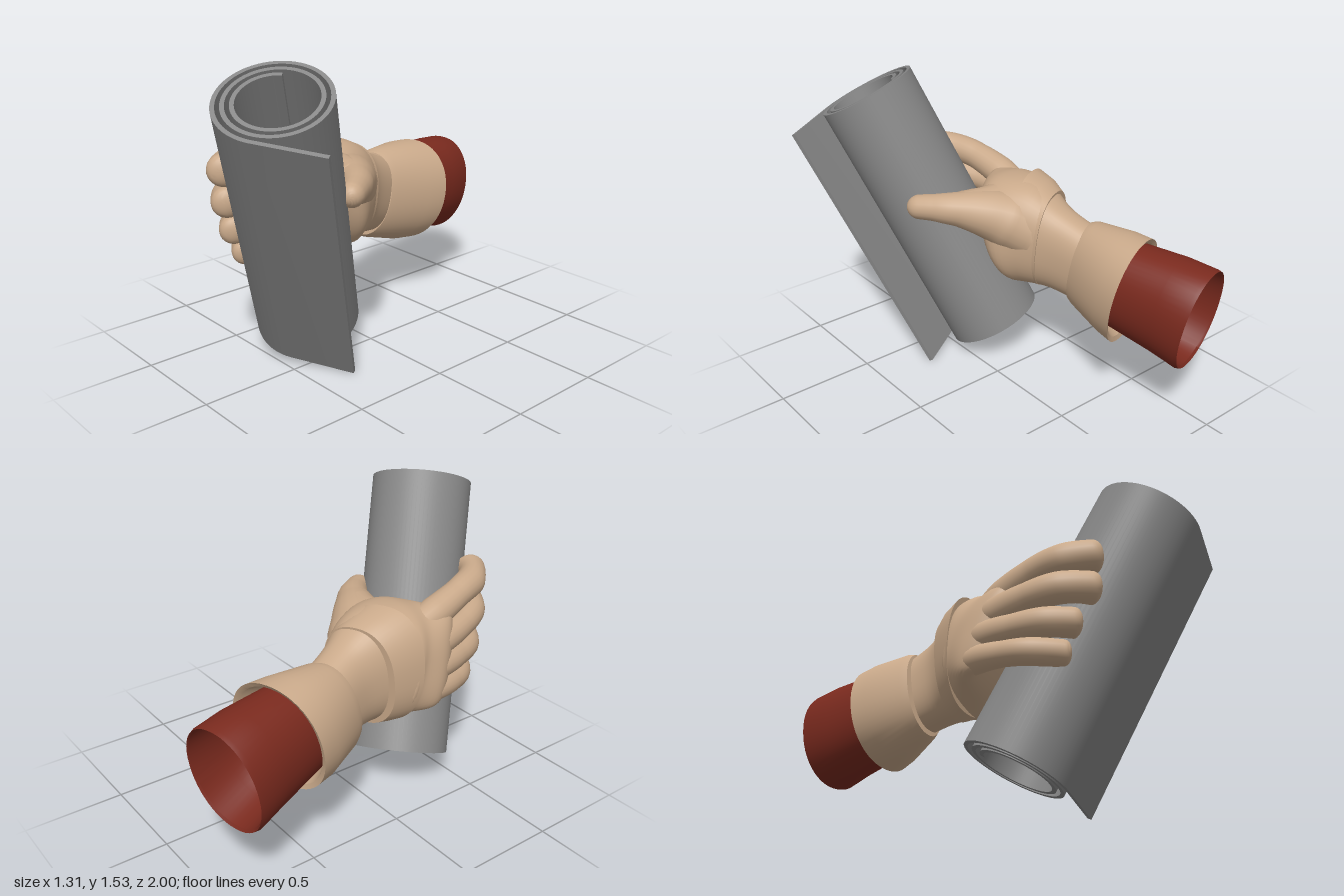
import * as THREE from 'three';
import { toCreasedNormals } from 'three/addons/utils/BufferGeometryUtils.js';

const V = (a) => new THREE.Vector3(...a);
const glove = new THREE.MeshStandardMaterial({ color: 0xc9a98a });
const cloth = new THREE.MeshStandardMaterial({ color: 0x7a2a1e, side: THREE.DoubleSide });
const paper = new THREE.MeshStandardMaterial({ color: 0x888888 });

function part(name, geometry, material) {
  const mesh = new THREE.Mesh(geometry, material);
  mesh.name = name;
  return mesh;
}

// Catmull-Rom resampling of a list of number rows
function smoothRows(rows, steps) {
  const out = [];
  const at = (i) => rows[Math.max(0, Math.min(rows.length - 1, i))];
  for (let i = 0; i < rows.length - 1; i++) {
    for (let s = 0; s < steps; s++) {
      const t = s / steps;
      out.push(rows[i].map((p1, k) => {
        const p0 = at(i - 1)[k], p2 = at(i + 1)[k], p3 = at(i + 2)[k];
        return p1 + 0.5 * t * (p2 - p0 + t * (2 * p0 - 5 * p1 + 4 * p2 - p3 + t * (3 * (p1 - p2) + p3 - p0)));
      }));
    }
  }
  out.push(rows[rows.length - 1]);
  return out;
}

// Skin over rounded sections: x, y, z, half width, half height, yaw, tilt, lean
function loft(sections, power = 1, crease = 0.7, n = 48) {
  const pos = [], index = [];
  const soft = (c) => Math.sign(c) * Math.abs(c) ** power;
  for (const [x, y, z, rx, ry, yaw, tilt, lean] of sections) {
    const side = V([Math.cos(yaw), 0, -Math.sin(yaw)]);
    const up = V([lean, 1, -tilt]).normalize();
    for (let j = 0; j < n; j++) {
      const a = (j / n) * Math.PI * 2;
      const p = V([x, y, z]).addScaledVector(side, rx * soft(Math.cos(a))).addScaledVector(up, ry * soft(Math.sin(a)));
      pos.push(p.x, p.y, p.z);
    }
  }
  for (let i = 0; i < sections.length - 1; i++) {
    for (let j = 0; j < n; j++) {
      const k = (j + 1) % n, a = i * n + j, b = i * n + k;
      index.push(a, b, a + n, b, b + n, a + n);
    }
  }
  const g = new THREE.BufferGeometry();
  g.setAttribute('position', new THREE.Float32BufferAttribute(pos, 3));
  g.setIndex(index);
  return toCreasedNormals(g, crease);
}

// Tube whose radius follows a list, with a rounded tip
function digit(points, radii, tipLength) {
  const curve = new THREE.CatmullRomCurve3(points.map(V));
  const n = 48, m = 20;
  const g = new THREE.TubeGeometry(curve, n, 1, m, false);
  const pos = g.attributes.position, p = new THREE.Vector3();
  const length = curve.getLength();
  for (let i = 0; i <= n; i++) {
    // more rings near the tip
    const t = 1 - (1 - i / n) ** 1.6;
    const c = curve.getPointAt(i / n), d = curve.getPointAt(t);
    const f = t * (radii.length - 1), k = Math.min(radii.length - 2, Math.floor(f));
    let r = radii[k] + (radii[k + 1] - radii[k]) * (f - k);
    const e = Math.max(0, 1 - ((1 - t) * length) / tipLength);
    r *= Math.sqrt(Math.max(0, 1 - e * e));
    for (let j = 0; j <= m; j++) {
      const v = i * (m + 1) + j;
      p.fromBufferAttribute(pos, v).sub(c).multiplyScalar(r).add(d);
      pos.setXYZ(v, p.x, p.y, p.z);
    }
  }
  g.computeVertexNormals();
  return toCreasedNormals(g, 1.2);
}

// Rolled sheet: spiral strip with a straight loose flap, extruded along the tilted axis
function rolledSheet() {
  const thick = 0.02, a0 = 1.125, a1 = a0 + Math.PI * 4.93, n = 190;
  const at = (a, r) => new THREE.Vector2(r * Math.cos(a), -r * Math.sin(a));
  const outer = [new THREE.Vector2(0.42, -0.104)];
  const inner = [outer[0].clone().sub(at(a0, thick))];
  for (let i = 0; i <= n; i++) {
    const a = a0 + ((a1 - a0) * i) / n;
    const r = 0.275 - (0.098 * i) / n;
    outer.push(at(a, r));
    inner.push(at(a, r - thick));
  }
  const shape = new THREE.Shape([...outer, ...inner.reverse()]);
  const g = new THREE.ExtrudeGeometry(shape, { depth: 1.412, bevelEnabled: false });
  const axis = V([0.305, 0.886, 0.345]).normalize();
  const back = new THREE.Vector3(0, -0.358, 0.934).negate().projectOnPlane(axis).normalize();
  const side = new THREE.Vector3().crossVectors(back, axis);
  g.applyMatrix4(new THREE.Matrix4().makeBasis(side, back, axis).setPosition(-0.177, 0.154, 0.258));
  return toCreasedNormals(g, 0.5);
}

export function createModel() {
  const model = new THREE.Group();
  model.name = 'handHoldingRoll';
  model.add(part('rolledSheet', rolledSheet(), paper));

  // Open sleeve with a thin inner wall closing deep inside
  model.add(part('sleeve', loft([
    [-0.36, 0.63, -0.5, 0, 0, 0.29, 0.18, 0],
    [-0.365, 0.63, -0.54, 0.1, 0.13, 0.29, 0.18, 0],
    [-0.375, 0.625, -0.62, 0.165, 0.215, 0.29, 0.18, 0],
    [-0.41, 0.6, -0.75, 0.188, 0.24, 0.29, 0.18, 0],
    [-0.455, 0.572, -0.915, 0.197, 0.255, 0.26, 0.18, 0],
    [-0.458, 0.569, -0.925, 0.205, 0.266, 0.25, 0.18, 0],
    [-0.453, 0.57, -0.905, 0.21, 0.272, 0.26, 0.18, 0],
    [-0.42, 0.598, -0.77, 0.205, 0.26, 0.28, 0.18, 0],
    [-0.355, 0.63, -0.5, 0.18, 0.235, 0.29, 0.18, 0],
  ], 0.95), cloth));

  // Flared glove cuff, hollow at the back
  model.add(part('cuff', loft([
    [-0.34, 0.64, -0.435, 0.15, 0.2, 0.3, 0.18, 0],
    [-0.36, 0.615, -0.575, 0.225, 0.258, 0.32, 0.18, 0],
    [-0.36, 0.613, -0.585, 0.25, 0.28, 0.32, 0.18, 0],
    [-0.355, 0.623, -0.485, 0.228, 0.277, 0.32, 0.18, 0],
    [-0.335, 0.65, -0.295, 0.165, 0.245, 0.35, 0.2, 0],
    [-0.328, 0.655, -0.26, 0.15, 0.228, 0.38, 0.2, 0],
    [-0.328, 0.655, -0.255, 0.1, 0.15, 0.38, 0.2, 0],
  ], 0.95), glove));

  const hand = new THREE.Group();
  hand.name = 'hand';
  model.add(hand);

  // Wrist, palm and knuckle ridge
  hand.add(part('palm', loft(smoothRows([
    [-0.325, 0.655, -0.3, 0.13, 0.205, 0.3, 0.18, 0],
    [-0.28, 0.7, -0.15, 0.14, 0.225, 0.3, 0.15, 0],
    [-0.25, 0.745, -0.01, 0.2, 0.27, 0.28, 0.05, 0],
    [-0.235, 0.755, 0.1, 0.25, 0.28, 0.1, -0.2, 0.05],
    [-0.28, 0.75, 0.19, 0.2, 0.268, -0.05, -0.33, 0.12],
    [-0.395, 0.75, 0.31, 0.085, 0.238, -0.25, -0.33, 0.22],
    [-0.395, 0.75, 0.38, 0.045, 0.18, -0.3, -0.3, 0.22],
    [-0.39, 0.75, 0.39, 0, 0, -0.3, -0.3, 0.22],
  ], 6), 0.85, 1.2), glove));

  // Raised strap slanting across the back of the hand
  hand.add(part('handStrap', loft([
    [-0.285, 0.725, -0.075, 0.15, 0.2, 0.42, 0.1, 0],
    [-0.285, 0.725, -0.075, 0.188, 0.257, 0.42, 0.1, 0],
    [-0.288, 0.74, -0.01, 0.208, 0.277, 0.42, 0.05, 0],
    [-0.285, 0.754, 0.06, 0.226, 0.29, 0.42, -0.05, 0.03],
    [-0.285, 0.754, 0.06, 0.17, 0.22, 0.42, -0.05, 0.03],
  ], 0.85), glove));

  // Fingers curled round the roll: knuckle, joints, tip
  const fingers = {
    indexFinger: [[[-0.32, 0.89, 0.2], [-0.315, 0.945, 0.36], [-0.28, 1, 0.56], [-0.225, 1.015, 0.69], [-0.105, 1.03, 0.785]], 0.073],
    middleFinger: [[[-0.37, 0.81, 0.2], [-0.365, 0.83, 0.38], [-0.315, 0.855, 0.57], [-0.245, 0.868, 0.68], [-0.105, 0.873, 0.765]], 0.071],
    ringFinger: [[[-0.4, 0.72, 0.18], [-0.4, 0.715, 0.34], [-0.355, 0.71, 0.5], [-0.285, 0.708, 0.62], [-0.165, 0.708, 0.7]], 0.066],
    littleFinger: [[[-0.41, 0.61, 0.14], [-0.425, 0.61, 0.27], [-0.395, 0.595, 0.42], [-0.325, 0.585, 0.54], [-0.175, 0.58, 0.635]], 0.06],
  };
  for (const [name, [points, r]] of Object.entries(fingers)) {
    hand.add(part(name, digit(points, [r, r * 1.1, r * 0.98, r * 1.05, r * 1.05], r * 0.6), glove));
  }

  // Thumb with its broad fleshy base, lying behind the roll
  hand.add(part('thumb', digit(
    [[-0.2, 0.78, -0.02], [-0.09, 0.85, 0.07], [0.055, 0.9, 0.155], [0.175, 0.915, 0.245], [0.272, 0.905, 0.378]],
    [0.15, 0.15, 0.12, 0.088, 0.067, 0.058], 0.06), glove));

  // Curved web joining the index knuckle to the thumb
  hand.add(part('thumbWeb', digit(
    [[-0.31, 0.92, 0.29], [-0.24, 0.91, 0.18], [-0.12, 0.9, 0.135], [0.02, 0.9, 0.155], [0.13, 0.91, 0.215]],
    [0.07, 0.1, 0.105, 0.1, 0.08], 0.08), glove));
  return model;
}
